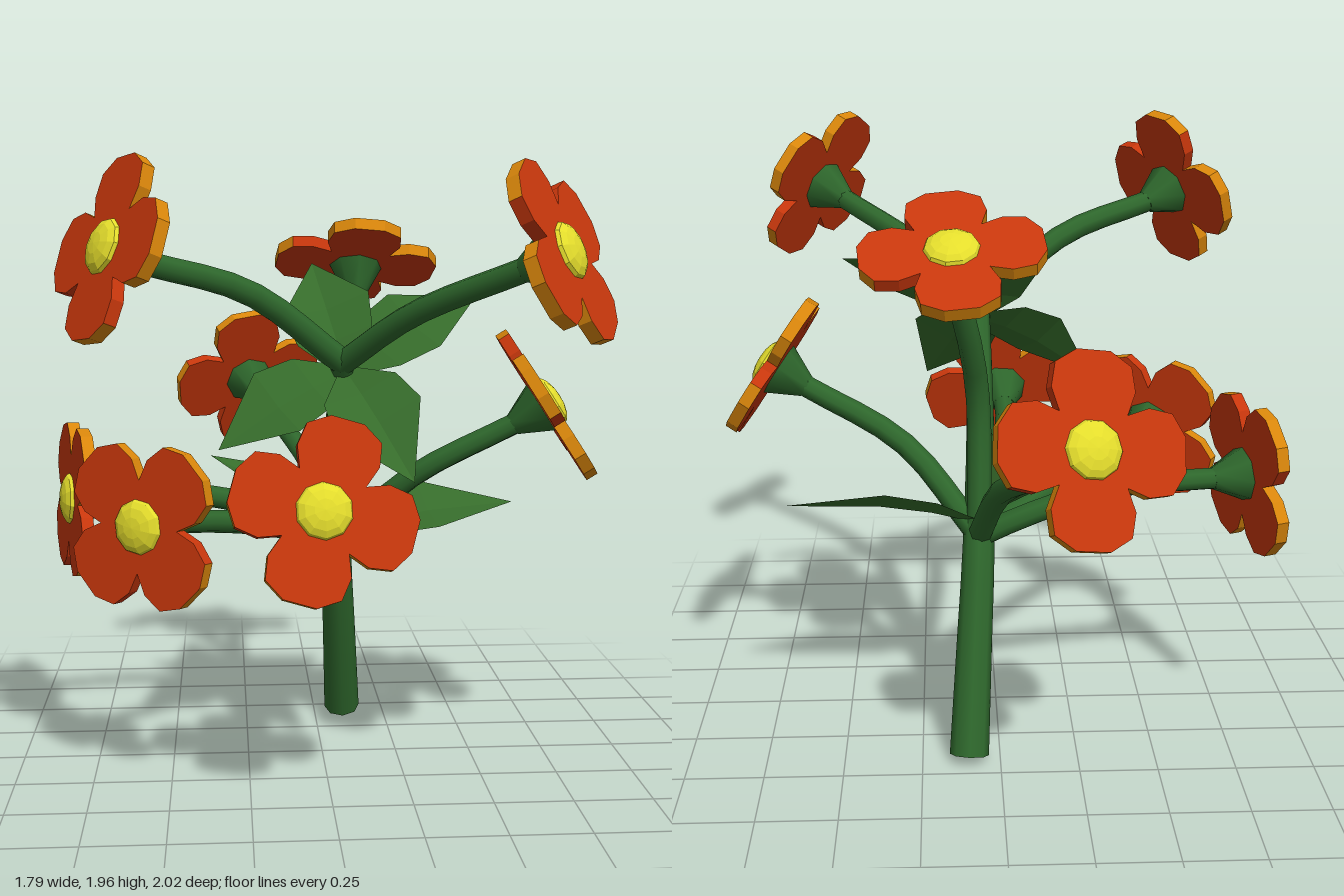
import * as THREE from 'three';

const V = (a) => new THREE.Vector3(...a);
const mat = (name, color, extra = {}) => {
  const m = new THREE.MeshStandardMaterial({ color, ...extra });
  m.name = name;
  return m;
};

export function createModel() {
  const petalRed = mat('petal red', 0xc8370c, { flatShading: true });
  const rimOrange = mat('petal rim orange', 0xd9860b, { flatShading: true });
  const heartYellow = mat('flower heart yellow', 0xe4dd2c, { flatShading: true });
  const stemGreen = mat('stem green', 0x2e672c);
  const leafGreen = mat('leaf green', 0x366c2b, { flatShading: true, side: THREE.DoubleSide });

  const model = new THREE.Group();
  const add = (parent, name, geometry, material) => {
    const mesh = new THREE.Mesh(geometry, material);
    mesh.name = name;
    parent.add(mesh);
    return mesh;
  };

  // Tapered tube through a few points
  const stalk = (name, points, r0, r1) => {
    const curve = new THREE.CatmullRomCurve3(points);
    const rings = 8, sides = 8;
    const geo = new THREE.TubeGeometry(curve, rings, 1, sides, false);
    const pos = geo.attributes.position, p = new THREE.Vector3();
    for (let i = 0; i <= rings; i++) {
      const c = curve.getPointAt(i / rings);
      const r = r0 + (r1 - r0) * (i / rings);
      for (let j = 0; j <= sides; j++) {
        const k = i * (sides + 1) + j;
        p.fromBufferAttribute(pos, k).sub(c).multiplyScalar(r).add(c);
        pos.setXYZ(k, p.x, p.y, p.z);
      }
    }
    add(model, name, geo, stemGreen);
    return curve;
  };

  // Four-lobed blossom outline
  const lobe = [[0.1, -0.1], [0.165, -0.124], [0.235, -0.113], [0.275, -0.05],
    [0.275, 0.05], [0.235, 0.113], [0.165, 0.124]];
  const outline = [];
  for (let k = 0; k < 4; k++) {
    const a = Math.PI / 2 * (k + 1), c = Math.cos(a), s = Math.sin(a);
    for (const [x, y] of lobe) outline.push(new THREE.Vector2(x * c - y * s, x * s + y * c));
  }
  const blossomGeo = new THREE.ExtrudeGeometry(new THREE.Shape(outline), { depth: 0.04, bevelEnabled: false });
  blossomGeo.translate(0, 0, -0.025);
  // Rim walls are orange, except the red walls inside the notches
  const [caps, walls] = blossomGeo.groups, count = outline.length;
  blossomGeo.clearGroups();
  blossomGeo.addGroup(caps.start, caps.count, 0);
  for (let q = 0; q < count; q++) {
    const segment = (count * 2 - 2 - q) % lobe.length;
    const inNotch = segment === 0 || segment === lobe.length - 1;
    blossomGeo.addGroup(walls.start + q * 6, 6, inNotch ? 0 : 1);
  }
  const heartGeo = new THREE.SphereGeometry(0.086, 10, 4, 0, Math.PI * 2, 0, Math.PI / 2);
  heartGeo.scale(1, 0.42, 1).rotateX(Math.PI / 2).translate(0, 0, 0.012);
  const cupGeo = new THREE.CylinderGeometry(0.092, 0.036, 0.11, 8);
  cupGeo.rotateX(Math.PI / 2).translate(0, 0, -0.078);

  // Blossom facing along a normal, rolled clockwise in degrees
  const flower = (centre, n, roll) => {
    const u = new THREE.Vector3(0, 1, 0).addScaledVector(n, -n.y).normalize();
    const r = new THREE.Vector3().crossVectors(u, n);
    const g = new THREE.Group();
    g.name = 'flower';
    g.position.copy(centre);
    g.quaternion.setFromRotationMatrix(new THREE.Matrix4().makeBasis(r, u, n));
    g.rotateZ(-roll * Math.PI / 180);
    add(g, 'petals', blossomGeo, [petalRed, rimOrange]);
    add(g, 'flowerHeart', heartGeo, heartYellow);
    add(g, 'flowerCup', cupGeo, stemGreen);
    model.add(g);
  };

  // Main stem with a closed cut end
  const low = [0.06, 0.68, -0.18], high = [0.05, 1.34, 0.23];
  const mainCurve = stalk('mainStem',
    [V([0.1, 0.02, -0.42]), V([0.08, 0.35, -0.3]), V(low), V([0.05, 1.02, 0.01]), V(high)], 0.063, 0.038);
  const cut = add(model, 'stemCut', new THREE.CircleGeometry(0.063, 8), stemGreen);
  cut.position.copy(mainCurve.getPointAt(0));
  cut.lookAt(cut.position.clone().sub(mainCurve.getTangentAt(0)));

  // Branches: flower centre, facing, roll, start, points on the way
  const branches = [
    [[-0.645, 1.695, 0.555], [-0.79, 0.34, 0.48], -7, high, [[-0.24, 1.56, 0.36]]],
    [[0.615, 1.685, 0.765], [0.76, 0.38, 0.5], -28, high, [[0.24, 1.5, 0.44]]],
    [[0.14, 1.645, -0.365], [0.04, 0.88, -0.46], -10, low, [[0.06, 1.12, -0.14], [0.09, 1.35, -0.23]]],
    [[0.73, 1.19, 0.075], [0.83, 0.54, 0.1], 24, low, [[0.3, 0.94, -0.01]]],
    [[-0.04, 0.95, 0.655], [0.07, 0.3, 0.95], 17, low, [[0, 0.79, 0.1], [-0.05, 0.88, 0.4]]],
    [[-0.575, 0.865, 0.415], [-0.56, 0.06, 0.83], 45, low, [[-0.12, 0.76, -0.07], [-0.32, 0.82, 0.12]]],
    [[-0.825, 0.86, -0.11], [-0.96, 0.05, 0.27], 45, low, [[-0.1, 0.76, -0.2], [-0.38, 0.85, -0.2]]],
    [[-0.23, 1.195, -0.855], [-0.3, 0.42, -0.85], 10, low, [[0, 0.89, -0.36], [-0.1, 1.03, -0.6]]],
  ];
  for (const [position, facing, roll, start, via] of branches) {
    const n = V(facing).normalize();
    const centre = V(position);
    flower(centre, n, roll);
    const end = centre.clone().addScaledVector(n, -0.12);
    stalk('branch', [V(start), ...via.map(V), end], 0.04, 0.036);
  }

  // Folded pointed leaf built from cross-sections along its midrib
  const leaf = (base, tip, axis, width) => {
    const b = V(base), d = V(tip).sub(b);
    const side = new THREE.Vector3().crossVectors(V(axis), d).normalize();
    const up = new THREE.Vector3().crossVectors(d, side).normalize();
    const verts = [], index = [];
    const sections = [[0, 0.2, 0], [0.25, 0.85, 0.02], [0.52, 1, 0.025], [1, 0, 0]];
    sections.forEach(([t, w, lift], i) => {
      for (const s of [-1, 0, 1]) {
        const p = b.clone().addScaledVector(d, t).addScaledVector(side, s * w * width / 2)
          .addScaledVector(up, lift + (s ? 0.03 * w : 0));
        verts.push(p.x, p.y, p.z);
      }
      if (!i) return;
      for (let j = 0; j < 2; j++) {
        const a = (i - 1) * 3 + j;
        index.push(a, a + 1, a + 3, a + 1, a + 4, a + 3);
      }
    });
    const geo = new THREE.BufferGeometry();
    geo.setAttribute('position', new THREE.Float32BufferAttribute(verts, 3));
    geo.setIndex(index);
    geo.computeVertexNormals();
    add(model, 'leaf', geo, leafGreen);
  };

  // Upper whorl
  const topAxis = [-0.22, 0.7, 0.7];
  for (const tip of [[-0.03, 1.64, -0.08], [0.49, 1.54, 0.08], [0.23, 1.02, 0.59], [-0.34, 1.08, 0.31]])
    leaf([0.06, 1.31, 0.22], tip, topAxis, 0.285);

  // Lower whorl
  leaf([0.06, 0.72, -0.17], [0.68, 0.81, -0.23], [0, 0.92, 0.38], 0.3);
  leaf([0.06, 0.72, -0.17], [-0.37, 0.97, -0.32], [0.3, 0.9, 0.3], 0.25);
  leaf([0.07, 0.72, -0.16], [0.07, 1.07, 0.02], [-0.8, 0.2, 0.5], 0.22);

  return model;
}
